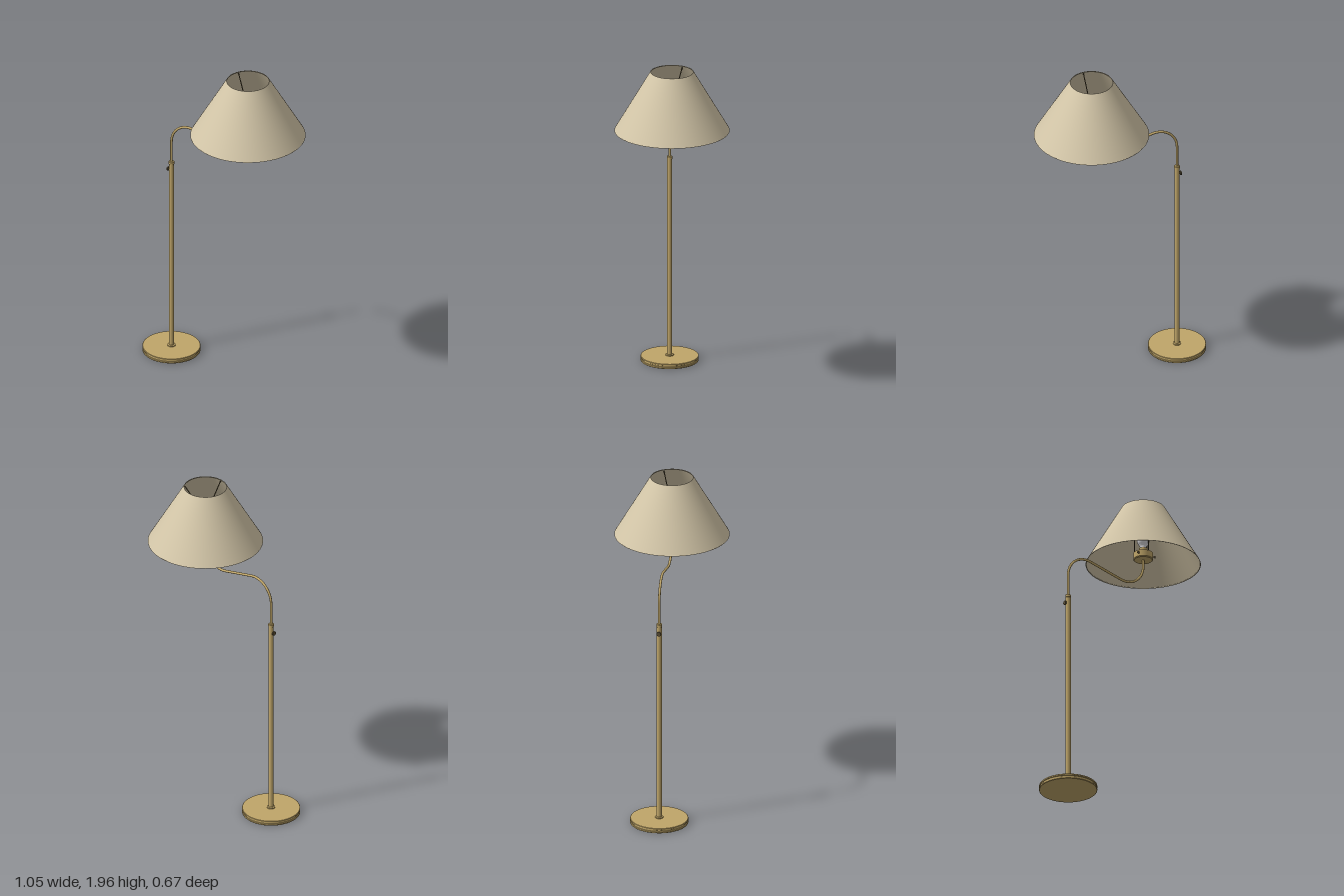
import * as THREE from 'three';

export function createModel() {
  const model = new THREE.Group();
  const mat = (name, color, side = THREE.FrontSide) => {
    const m = new THREE.MeshStandardMaterial({ color, side });
    m.name = name;
    return m;
  };
  const brass = mat('brass', 0xc0a669);
  const fabric = mat('shade fabric', 0xd3c6a8, THREE.DoubleSide);
  const glass = mat('bulb glass', 0xdcdce0);
  const dark = mat('dark metal', 0x5c5038);

  const add = (name, geometry, material, x = 0, y = 0, z = 0, parent = model) => {
    const mesh = new THREE.Mesh(geometry, material);
    mesh.name = name;
    mesh.position.set(x, y, z);
    parent.add(mesh);
    return mesh;
  };
  // Turned part with crisp edges: one smooth band per profile segment
  const turned = (name, points, material, x, parent = model) => {
    const group = new THREE.Group();
    group.name = name;
    group.position.x = x;
    for (let i = 0; i < points.length - 1; i++) {
      const pair = [points[i], points[i + 1]].map(([r, y]) => new THREE.Vector2(r, y));
      add(name + 'Band', new THREE.LatheGeometry(pair, 64), material, 0, 0, 0, group);
    }
    parent.add(group);
    return group;
  };
  const rod = (name, a, b, radius, material, parent = model) => {
    const from = new THREE.Vector3(...a), to = new THREE.Vector3(...b);
    const dir = to.clone().sub(from);
    const mesh = add(name, new THREE.CylinderGeometry(radius, radius, dir.length(), 12), material, 0, 0, 0, parent);
    mesh.position.copy(from).add(to).multiplyScalar(0.5);
    mesh.quaternion.setFromUnitVectors(new THREE.Vector3(0, 1, 0), dir.normalize());
    return mesh;
  };

  const poleX = -0.355, shadeX = 0.185;

  // Round base with a shallow groove in its edge
  turned('base', [
    [0, 0.037], [0.168, 0.037], [0.17, 0.039], [0.17, 0.047], [0.166, 0.049],
    [0.166, 0.055], [0.17, 0.057], [0.17, 0.065], [0.168, 0.067], [0, 0.067],
  ], brass, poleX);

  // Pole with foot and top collars
  turned('pole', [
    [0.024, 0.066], [0.024, 0.073], [0.015, 0.075], [0.015, 1.278],
    [0.017, 1.28], [0.017, 1.294], [0.015, 1.296], [0, 1.296],
  ], brass, poleX);

  // Height locking screw
  rod('screwStem', [poleX - 0.012, 1.24, 0], [poleX - 0.022, 1.24, 0], 0.005, dark);
  rod('screwKnob', [poleX - 0.02, 1.24, 0], [poleX - 0.027, 1.24, 0], 0.013, dark);

  // S-curved arm: two arcs joined by their common tangent
  const bend = 0.13, tangent = THREE.MathUtils.degToRad(76.3);
  const path = new THREE.CurvePath();
  const points = [];
  points.push(new THREE.Vector3(poleX, 1.28, 0), new THREE.Vector3(poleX, 1.36, 0));
  for (let i = 0; i <= 16; i++) {
    const a = THREE.MathUtils.lerp(Math.PI, tangent, i / 16);
    points.push(new THREE.Vector3(-0.225 + bend * Math.cos(a), 1.427 + bend * Math.sin(a), 0));
  }
  for (let i = 0; i <= 16; i++) {
    const a = THREE.MathUtils.lerp(tangent - Math.PI, 0, i / 16);
    points.push(new THREE.Vector3(0.055 + bend * Math.cos(a), 1.627 + bend * Math.sin(a), 0));
  }
  points.push(new THREE.Vector3(shadeX, 1.675, 0));
  for (let i = 1; i < points.length; i++) path.add(new THREE.LineCurve3(points[i - 1], points[i]));
  add('arm', new THREE.TubeGeometry(new THREE.CatmullRomCurve3(points), 120, 0.0075, 14), brass);

  // Lamp holder cup
  turned('holderCup', [
    [0, 1.667], [0.053, 1.667], [0.058, 1.672], [0.058, 1.71],
    [0.046, 1.71], [0.046, 1.7], [0, 1.7],
  ], brass, shadeX);
  turned('socket', [[0.026, 1.7], [0.026, 1.74], [0, 1.74]], brass, shadeX);

  // Bulb with neck
  turned('bulbNeck', [[0.018, 1.735], [0.02, 1.755], [0.03, 1.772]], glass, shadeX);
  add('bulb', new THREE.SphereGeometry(0.036, 32, 24), glass, shadeX, 1.79);

  // Three wires carrying the shade, with a cup screw opposite each
  const carrier = new THREE.Group();
  carrier.name = 'shadeCarrier';
  carrier.position.x = shadeX;
  model.add(carrier);
  for (let i = 0; i < 3; i++) {
    const a = Math.PI / 2 + i * Math.PI * 2 / 3;
    const at = (r, y) => [r * Math.cos(a), y, r * Math.sin(a)];
    rod('wireUpright', at(0.052, 1.7), at(0.052, 1.88), 0.003, dark, carrier);
    rod('wireSpoke', at(0.052, 1.88), at(0.126, 1.99), 0.003, dark, carrier);
    rod('cupScrew', at(-0.05, 1.69), at(-0.07, 1.69), 0.003, dark, carrier);
    rod('cupScrewHead', at(-0.066, 1.69), at(-0.072, 1.69), 0.007, dark, carrier);
  }

  // Conical shade, open at both ends, with thin rims
  add('shade', new THREE.CylinderGeometry(0.126, 0.337, 0.36, 96, 1, true), fabric, shadeX, 1.82);
  for (const [name, r, y] of [['shadeTopRim', 0.124, 1.998], ['shadeBottomRim', 0.334, 1.642]]) {
    add(name, new THREE.TorusGeometry(r, 0.002, 8, 96), fabric, shadeX, y).rotation.x = Math.PI / 2;
  }
  return model;
}
